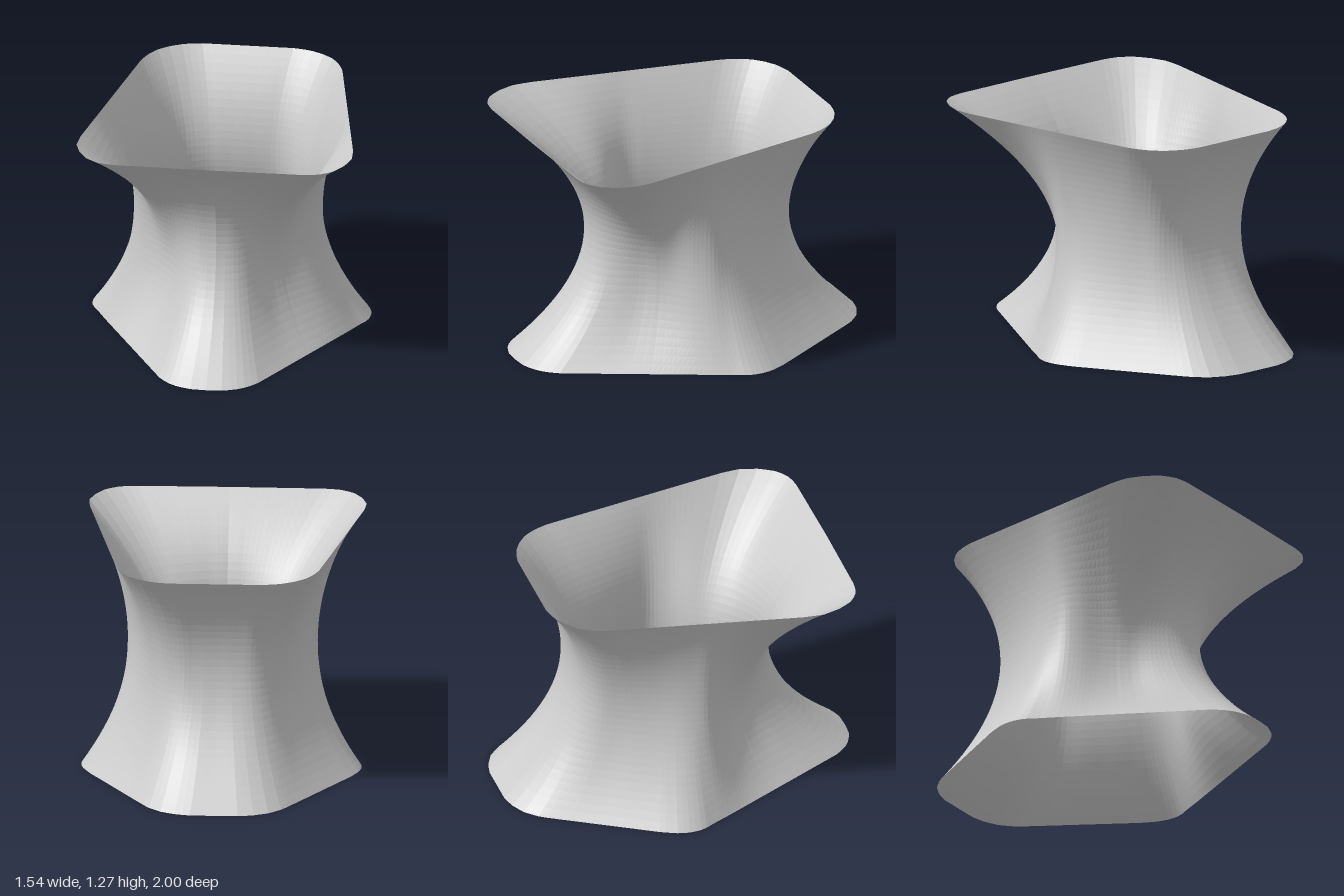
import * as THREE from 'three';

const HEIGHT = 1.27, NECK = 0.7, AROUND = 144, ROWS = 30;

// Half outlines as [x, z], running from the back round the +x side to the front
const bottomRim = [[0, -1], [0.14, -1], [0.22, -0.98], [0.3, -0.94], [0.37, -0.87], [0.43, -0.77],
  [0.72, -0.28], [0.76, -0.19], [0.77, -0.12], [0.76, -0.05], [0.72, 0.02], [0.67, 0.12],
  [0.27, 0.87], [0.22, 0.93], [0.16, 0.97], [0.09, 0.995], [0, 1]];
const neckRing = [[0, -0.58], [0.1, -0.58], [0.2, -0.57], [0.3, -0.515], [0.37, -0.4], [0.445, -0.22],
  [0.505, -0.05], [0.52, 0.05], [0.485, 0.135], [0.41, 0.23], [0.34, 0.345], [0.2, 0.475], [0.1, 0.53], [0, 0.55]];
const topRim = [[0, -0.8], [0.26, -0.8], [0.35, -0.78], [0.43, -0.735], [0.49, -0.68], [0.53, -0.61],
  [0.555, -0.54], [0.755, 0.54], [0.76, 0.64], [0.73, 0.74], [0.68, 0.82], [0.62, 0.865], [0.54, 0.885], [0, 0.89]];

// Round off an outline with a spline
function smooth(points) {
  const curve = new THREE.CatmullRomCurve3(points.map(([x, z]) => new THREE.Vector3(x, 0, z)));
  return curve.getPoints(100).map((p) => [p.x, p.z]);
}

// Distance from the axis to an outline, in the direction a (0 = back, PI = front)
function radiusAt(points, a) {
  const dx = Math.sin(a), dz = -Math.cos(a);
  for (let i = 0; i < points.length - 1; i++) {
    const [x0, z0] = points[i], [x1, z1] = points[i + 1];
    if (Math.atan2(x1, -z1) < a - 1e-9 && i < points.length - 2) continue;
    const ex = x1 - x0, ez = z1 - z0;
    return (x0 * ez - z0 * ex) / (dx * ez - dz * ex);
  }
}

// Skin stretched from the lower rim through the neck to the upper rim
function stretchedSkin() {
  const neck = smooth(neckRing);
  const positions = [], index = [];
  for (let j = 0; j <= ROWS; j++) {
    const y = (HEIGHT * j) / ROWS;
    // quadratic weights of the three sections at this height
    const wBottom = ((y - NECK) * (y - HEIGHT)) / (NECK * HEIGHT);
    const wNeck = (y * (HEIGHT - y)) / (NECK * (HEIGHT - NECK));
    const wTop = (y * (y - NECK)) / (HEIGHT * (HEIGHT - NECK));
    for (let i = 0; i < AROUND; i++) {
      const t = (2 * Math.PI * i) / AROUND;
      const a = t <= Math.PI ? t : 2 * Math.PI - t;
      const r = wBottom * radiusAt(bottomRim, a) + wNeck * radiusAt(neck, a) + wTop * radiusAt(topRim, a);
      positions.push(r * Math.sin(t), y, -r * Math.cos(t));
    }
  }
  for (let j = 0; j < ROWS; j++) {
    for (let i = 0; i < AROUND; i++) {
      const a = j * AROUND + i, b = j * AROUND + ((i + 1) % AROUND);
      const c = a + AROUND, d = b + AROUND;
      index.push(a, c, b, b, c, d);
    }
  }
  const geometry = new THREE.BufferGeometry();
  geometry.setAttribute('position', new THREE.Float32BufferAttribute(positions, 3));
  geometry.setIndex(index);
  geometry.computeVertexNormals();
  return geometry;
}

export function createModel() {
  const group = new THREE.Group();
  group.name = 'stretchedTube';
  const material = new THREE.MeshStandardMaterial({ color: 0xcccccc, flatShading: true, side: THREE.DoubleSide });
  const skin = new THREE.Mesh(stretchedSkin(), material);
  skin.name = 'skin';
  group.add(skin);
  return group;
}
